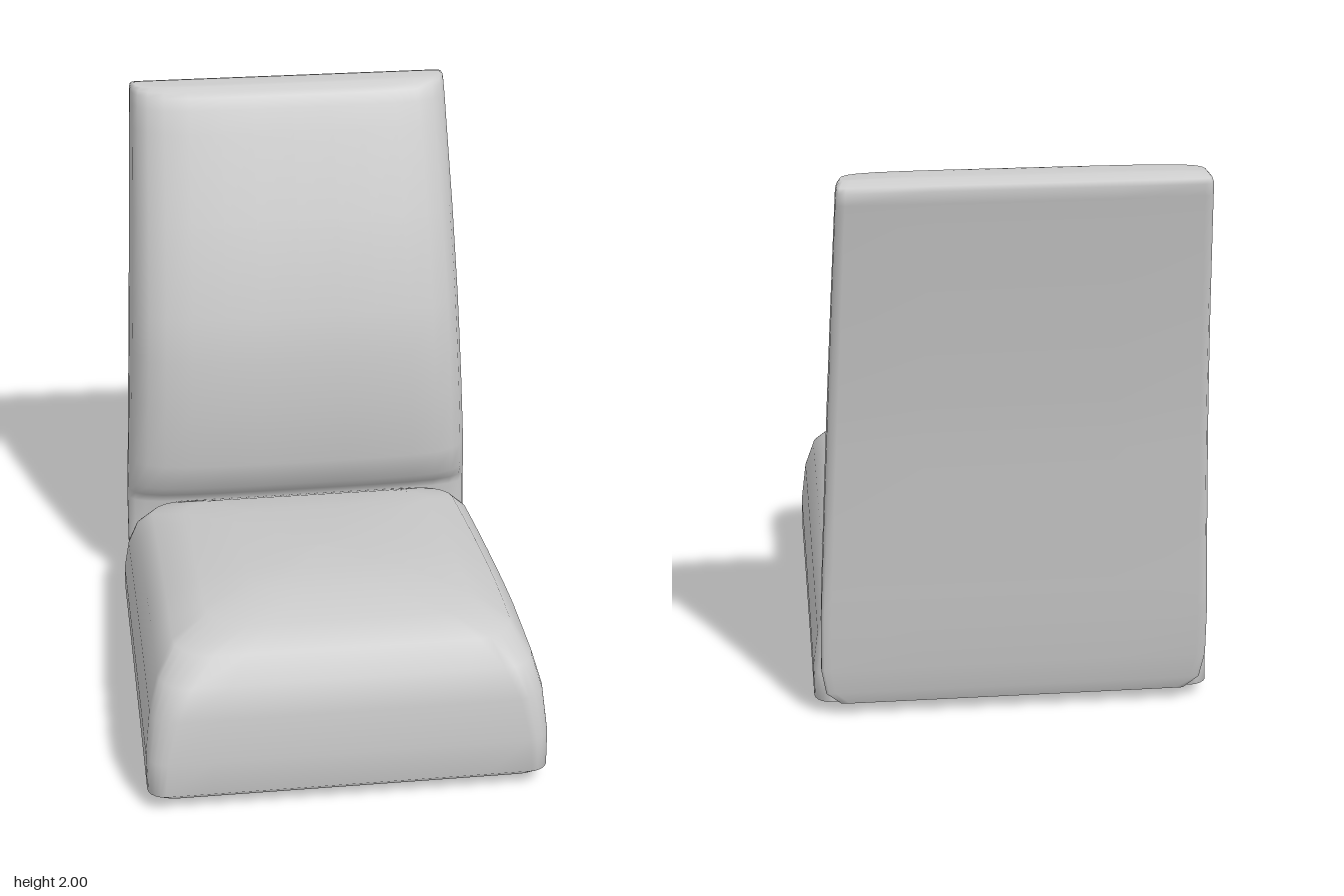
import * as THREE from 'three';
import { mergeVertices } from 'three/addons/utils/BufferGeometryUtils.js';

// Skin a stack of closed rings, listed from bottom to top
function loft(rings) {
  const n = rings[0].length, pos = [], index = [];
  rings.forEach(r => r.forEach(p => pos.push(...p)));
  for (let k = 0; k < rings.length - 1; k++) {
    for (let i = 0; i < n; i++) {
      const j = (i + 1) % n, a = k * n + i, b = k * n + j;
      index.push(a, b, b + n, a, b + n, a + n);
    }
  }
  const g = new THREE.BufferGeometry();
  g.setAttribute('position', new THREE.Float32BufferAttribute(pos, 3));
  g.setIndex(index);
  const welded = mergeVertices(g, 1e-5);
  welded.computeVertexNormals();
  return welded;
}

// Rounded rectangle in plan, with subdivided edges
function roundedRect(hw, z0, z1, r) {
  const pts = [];
  const corners = [[hw - r, z1 - r], [hw - r, z0 + r], [r - hw, z0 + r], [r - hw, z1 - r]];
  corners.forEach(([cx, cz], c) => {
    for (let i = 0; i <= 5; i++) {
      const a = (c + i / 5) * Math.PI / 2;
      pts.push([cx + r * Math.sin(a), cz + r * Math.cos(a)]);
    }
    const [sx, sz] = pts[pts.length - 1];
    const a = (c + 1) * Math.PI / 2, [nx, nz] = corners[(c + 1) % 4];
    const ex = nx + r * Math.sin(a), ez = nz + r * Math.cos(a);
    for (let i = 1; i < 8; i++) pts.push([sx + (ex - sx) * i / 8, sz + (ez - sz) * i / 8]);
  });
  return pts;
}

// Seat cushion: the top falls away towards the back
function seatGeometry() {
  const slope = z => 1 - 0.246 * Math.pow(Math.max(0, 0.5 - z), 1.3);
  // height, half width, back z, front z, corner radius
  const levels = [
    [0, 0.001, 0.17, 0.172, 0.0005],
    [0.004, 0.35, -0.2, 0.55, 0.05],
    [0.024, 0.6, -0.49, 0.87, 0.06],
    [0.045, 0.655, -0.555, 0.91, 0.06],
    [0.07, 0.69, -0.59, 0.935, 0.06],
    [0.2, 0.69, -0.578, 0.938, 0.07],
    [0.36, 0.672, -0.577, 0.928, 0.09],
    [0.47, 0.64, -0.575, 0.9, 0.11],
    [0.55, 0.58, -0.55, 0.83, 0.13],
    [0.59, 0.46, -0.45, 0.71, 0.14],
    [0.605, 0.29, -0.27, 0.52, 0.12],
    [0.609, 0.14, -0.05, 0.35, 0.06],
    [0.61, 0.001, 0.15, 0.152, 0.0005],
  ];
  return loft(levels.map(([y, hw, z0, z1, r]) =>
    roundedRect(hw, z0, z1, r).map(([x, z]) => [x, y * slope(z), z])));
}

// Backrest: flat rear, padded front, tapering and leaning backwards
function backrestGeometry() {
  // half section: share of the width, share of the depth
  const half = [[0, 1], [0.25, 1], [0.45, 0.995], [0.65, 0.97], [0.8, 0.92], [0.9, 0.82],
    [0.96, 0.68], [0.99, 0.5], [1, 0.3], [1, 0.08], [0.985, 0.015], [0.95, 0], [0.5, 0], [0, 0]];
  const section = [...half, ...half.slice(1, -1).reverse().map(([u, v]) => [-u, v])];
  // height, rear z, front z, scale of the width
  const levels = [
    [0.05, -0.6, -0.6, 0], [0.052, -0.61, -0.59, 0.88], [0.1, -0.625, -0.58, 0.96],
    [0.2, -0.648, -0.575, 0.99], [0.4, -0.675, -0.56, 1], [0.44, -0.68, -0.53, 1],
    [0.49, -0.687, -0.48, 1], [0.6, -0.7, -0.445, 1], [0.85, -0.735, -0.43, 1],
    [1.03, -0.76, -0.44, 1], [1.2, -0.785, -0.46, 1], [1.53, -0.845, -0.55, 1],
    [1.85, -0.91, -0.68, 1], [1.93, -0.928, -0.71, 1], [1.97, -0.937, -0.735, 1],
    [1.985, -0.925, -0.755, 0.995], [1.998, -0.88, -0.785, 0.975],
    [2, -0.86, -0.8, 0.6], [2, -0.83, -0.83, 0],
  ];
  return loft(levels.map(([y, z0, z1, s]) =>
    section.map(([u, v]) => [u * s * (0.682 - 0.0475 * y), y, z0 + (z1 - z0) * v])));
}

export function createModel() {
  const upholstery = new THREE.MeshStandardMaterial({ color: 0xcccccc });
  upholstery.name = 'light grey upholstery';
  const group = new THREE.Group();
  group.name = 'seat';
  const add = (name, geometry) => {
    const mesh = new THREE.Mesh(geometry, upholstery);
    mesh.name = name;
    group.add(mesh);
  };
  add('seatCushion', seatGeometry());
  add('backrest', backrestGeometry());
  return group;
}
